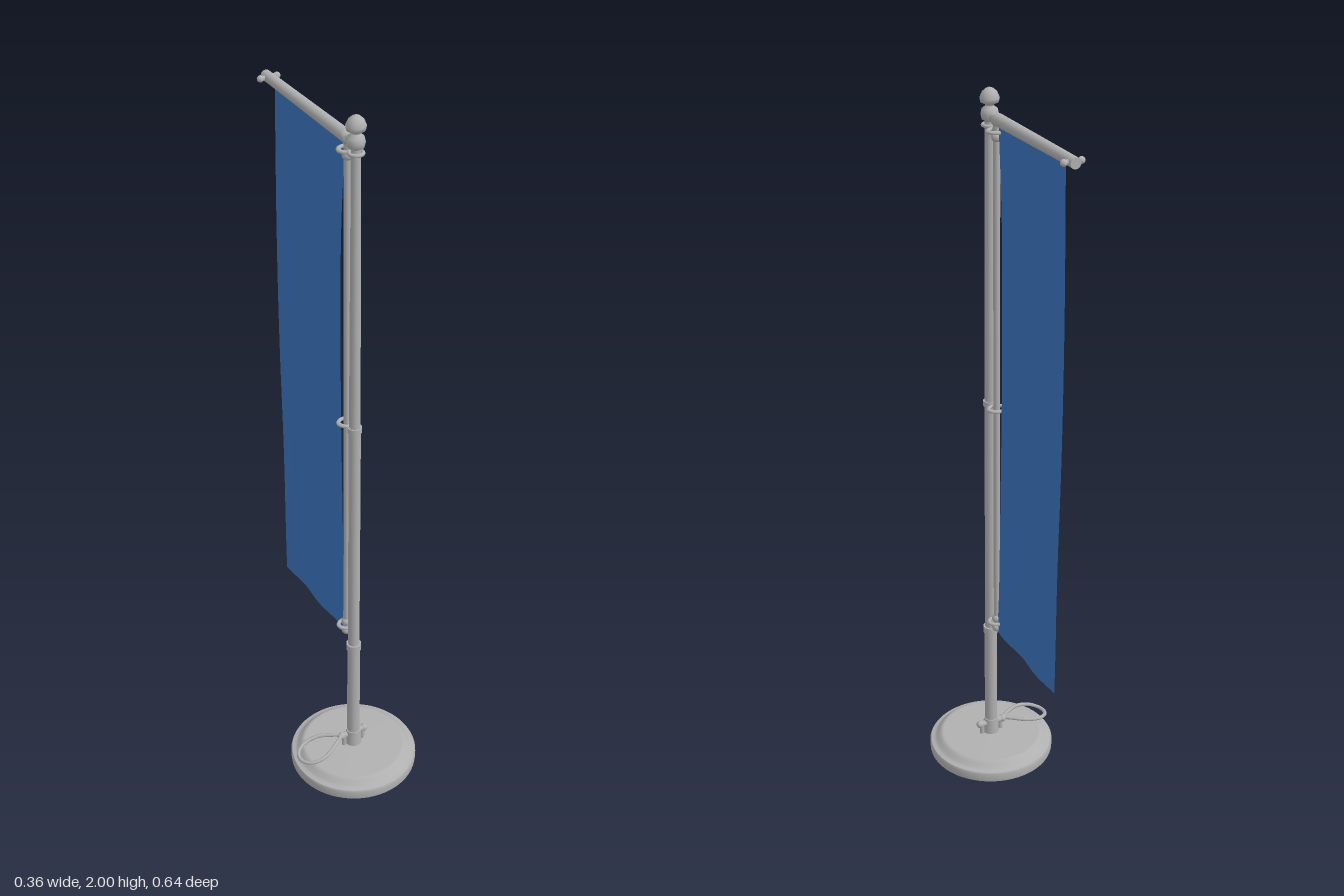
import * as THREE from 'three';

export function createModel() {
  const group = new THREE.Group();
  const metal = new THREE.MeshStandardMaterial({ name: 'grey metal', color: 0xb0b0b0 });
  const cloth = new THREE.MeshStandardMaterial({ name: 'blue cloth', color: 0x3a74bd, side: THREE.DoubleSide });
  const V = (x, y, z) => new THREE.Vector3(x, y, z);

  const add = (name, geometry, material = metal) => {
    const mesh = new THREE.Mesh(geometry, material);
    mesh.name = name;
    group.add(mesh);
    return mesh;
  };
  // tapered rod between two points
  const rod = (name, a, b, ra, rb = ra, seg = 20) => {
    const mesh = add(name, new THREE.CylinderGeometry(rb, ra, a.distanceTo(b), seg));
    mesh.position.copy(a).lerp(b, 0.5);
    mesh.quaternion.setFromUnitVectors(V(0, 1, 0), b.clone().sub(a).normalize());
    return mesh;
  };
  const ball = (name, p, r, sy = 1) => {
    const mesh = add(name, new THREE.SphereGeometry(r, 20, 14));
    mesh.position.copy(p);
    mesh.scale.y = sy;
    return mesh;
  };
  const ring = (name, p, r, tube, sx = 1) => {
    const mesh = add(name, new THREE.TorusGeometry(r, tube, 8, 28).rotateX(Math.PI / 2));
    mesh.position.copy(p);
    mesh.scale.x = sx;
    return mesh;
  };
  const lathe = (name, points, p) => {
    const mesh = add(name, new THREE.LatheGeometry(points.map(q => new THREE.Vector2(...q)), 64));
    mesh.position.copy(p);
    return mesh;
  };

  // the mast leans slightly back
  const mastAt = y => V(0, y, 0.14 - 0.009 * y);
  const lineAt = y => V(0, y, 0.099 - 0.008 * y);

  // round stepped foot
  lathe('base', [[0, 0], [0.18, 0], [0.18, 0], [0.181, 0.008], [0.181, 0.024], [0.178, 0.029], [0.178, 0.029],
    [0.168, 0.031], [0.162, 0.035], [0.154, 0.044], [0.148, 0.049], [0.142, 0.051], [0.136, 0.05], [0, 0.053]], V(0, 0, 0.14));

  // telescopic mast
  rod('lowerMast', mastAt(0.04), mastAt(0.42), 0.018);
  rod('middleMast', mastAt(0.41), mastAt(1.15), 0.016);
  rod('upperMast', mastAt(1.13), mastAt(1.93), 0.015, 0.012);
  rod('lowerCollar', mastAt(0.405), mastAt(0.425), 0.021);
  rod('middleCollar', mastAt(1.133), mastAt(1.148), 0.019);
  rod('footSocket', mastAt(0.05), mastAt(0.1), 0.024, 0.021);

  // finial
  lathe('finial', [[0.013, 0], [0.02, 0.004], [0.023, 0.017], [0.02, 0.03], [0.011, 0.037], [0.011, 0.041],
    [0.023, 0.047], [0.025, 0.058], [0.019, 0.072], [0.01, 0.08], [0, 0.084]], V(0, 1.916, 0.122));

  // tensioning line and its end knobs
  rod('tensionRod', lineAt(0.44), lineAt(1.92), 0.009, 0.009, 12);
  for (const y of [0.445, 0.475, 1.885, 1.925]) ball('rodKnob', lineAt(y), 0.014);

  // clips joining rod to mast
  for (const y of [0.465, 1.14, 1.9]) {
    ring('clipRing', lineAt(y), 0.019, 0.005, 1.2);
    rod('clipLink', lineAt(y), mastAt(y), 0.006, 0.006, 10);
  }
  ring('mastRing', mastAt(1.905), 0.017, 0.005);

  // crossbar with end fitting
  rod('crossbar', V(0, 1.93, 0.075), V(0, 1.936, -0.295), 0.0165, 0.014);
  ball('crossbarRoot', V(0, 1.93, 0.075), 0.0165);
  rod('crossbarPivot', V(0, 1.93, 0.12), V(0, 1.93, 0.07), 0.011);
  rod('crossbarCap', V(0, 1.936, -0.287), V(0, 1.936, -0.32), 0.014);
  rod('endPin', V(-0.022, 1.936, -0.304), V(0.022, 1.936, -0.304), 0.007, 0.007, 12);
  for (const s of [-1, 1]) ball('endPinKnob', V(s * 0.023, 1.936, -0.304), 0.009);

  // hanging cloth: bowed side edges and soft folds
  const edge = points => new THREE.CatmullRomCurve3(points.map(([y, z]) => V(0, y, z)));
  const inner = edge([[0.432, 0.092], [0.6, 0.074], [1.0, 0.058], [1.4, 0.049], [1.65, 0.052], [1.915, 0.072]]);
  const outer = edge([[0.43, -0.247], [0.6, -0.257], [0.9, -0.274], [1.1, -0.281], [1.5, -0.278], [1.918, -0.272]]);
  const flag = new THREE.PlaneGeometry(1, 1, 24, 60);
  const pos = flag.attributes.position;
  for (let i = 0; i < pos.count; i++) {
    const u = pos.getX(i) + 0.5, v = pos.getY(i) + 0.5;
    const p = inner.getPointAt(v).lerp(outer.getPointAt(v), u);
    const sag = Math.sin(Math.PI * v);
    const fold = 0.005 * sag * Math.sin(7 * u + 3 * v) + 0.005 * sag * Math.sin(Math.PI * u)
      + 0.003 * (1 - v) * Math.sin(11 * u + 9 * v);
    pos.setXYZ(i, fold, p.y, p.z);
  }
  flag.computeVertexNormals();
  add('flag', flag, cloth);

  // foot bracket and wire loop
  rod('footPin', V(-0.042, 0.085, 0.136), V(0.04, 0.085, 0.136), 0.009, 0.009, 12);
  for (const s of [-1, 1]) {
    rod('footBracket', V(s * 0.03, 0.05, 0.138), V(s * 0.03, 0.09, 0.138), 0.007, 0.007, 10);
    ball('pinKnob', V(s * 0.037, 0.085, 0.136), 0.011);
  }
  const loop = new THREE.CatmullRomCurve3([
    V(-0.043, 0.088, 0.136), V(-0.07, 0.086, 0.115), V(-0.1, 0.082, 0.1), V(-0.145, 0.073, 0.101), V(-0.172, 0.066, 0.122),
    V(-0.174, 0.064, 0.152), V(-0.152, 0.069, 0.176), V(-0.115, 0.078, 0.18), V(-0.075, 0.086, 0.162)], true);
  add('wireLoop', new THREE.TubeGeometry(loop, 72, 0.0055, 8, true));

  return group;
}
